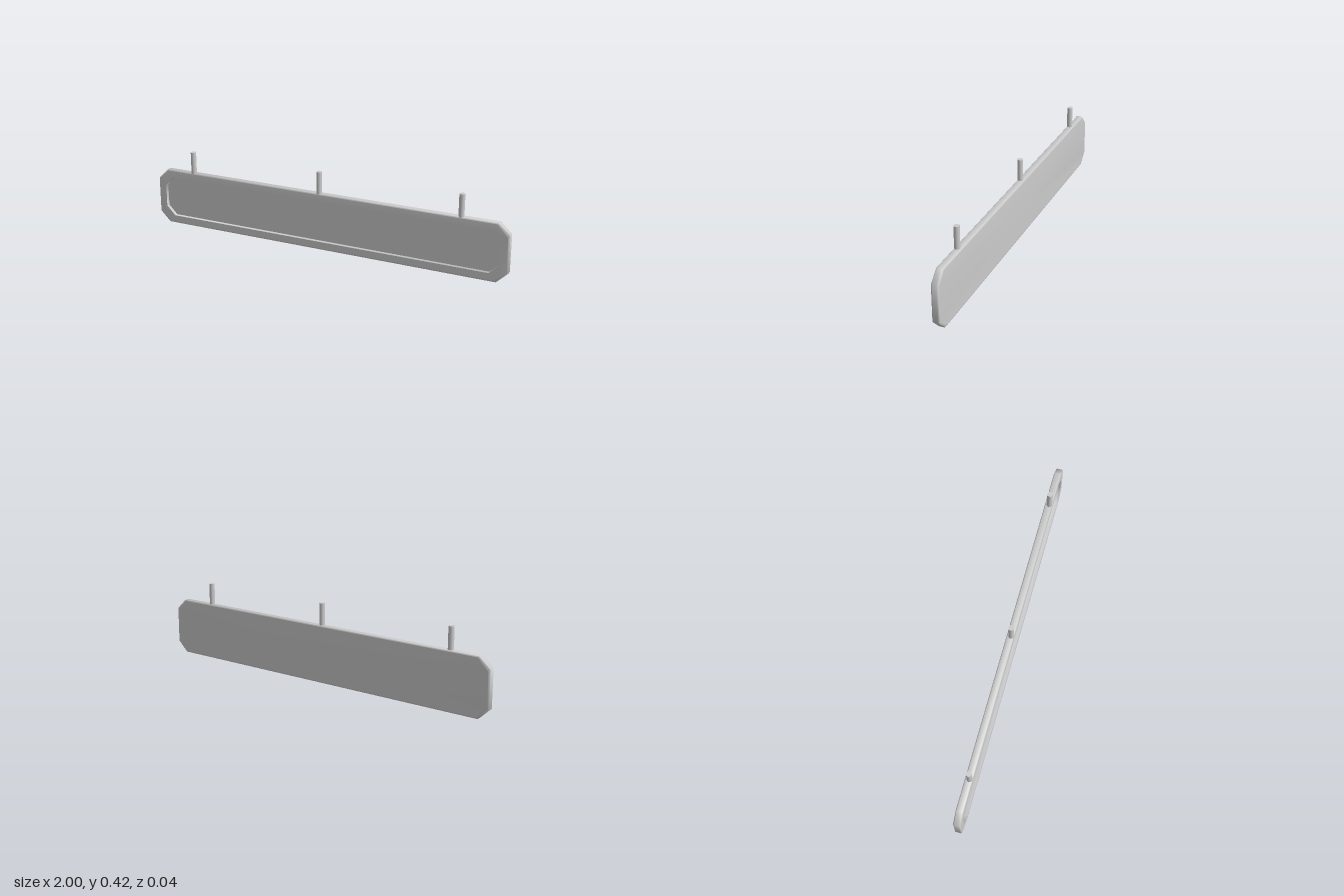
import * as THREE from 'three';
import { toCreasedNormals } from 'three/addons/utils/BufferGeometryUtils.js';

const MID_Y = 0.153;

// Rectangle with cut corners, counter-clockwise seen from the front
function octagon(hw, hh, cx, cy, z) {
  return [
    [hw, -hh + cy], [hw, hh - cy], [hw - cx, hh], [-hw + cx, hh],
    [-hw, hh - cy], [-hw, -hh + cy], [-hw + cx, -hh], [hw - cx, -hh],
  ].map(([x, y]) => [x, y + MID_Y, z]);
}

// Skins consecutive rings and closes both ends with a fan
function loft(rings) {
  const pos = [];
  const tri = (a, b, c) => pos.push(...a, ...b, ...c);
  const n = rings[0].length;
  const first = rings[0], last = rings[rings.length - 1];
  for (let j = 0; j < n; j++) {
    const k = (j + 1) % n;
    for (let i = 0; i < rings.length - 1; i++) {
      const a = rings[i], b = rings[i + 1];
      tri(a[j], a[k], b[k]);
      tri(a[j], b[k], b[j]);
    }
    tri([0, MID_Y, first[0][2]], first[k], first[j]);
    tri([0, MID_Y, last[0][2]], last[j], last[k]);
  }
  const geo = new THREE.BufferGeometry();
  geo.setAttribute('position', new THREE.Float32BufferAttribute(pos, 3));
  return toCreasedNormals(geo, 0.85);
}

export function createModel() {
  const group = new THREE.Group();
  const material = new THREE.MeshStandardMaterial({ color: 0xcccccc });
  const add = (name, geo, x = 0, y = 0, z = 0) => {
    const mesh = new THREE.Mesh(geo, material);
    mesh.name = name;
    mesh.position.set(x, y, z);
    group.add(mesh);
  };

  // Sign board: rounded outer edge, raised rim and sunken front panel
  const HW = 1, HH = 0.152, HZ = 0.019, R = 0.007, STEPS = 4;
  const outer = (inset, z) => octagon(HW - inset, HH - inset, 0.058, 0.055, z);
  const rings = [outer(R + 0.003, -HZ)];
  for (const side of [-1, 1]) {
    for (let i = 0; i <= STEPS; i++) {
      const t = (side < 0 ? i : STEPS - i) / STEPS * Math.PI / 2;
      rings.push(outer(R * (1 - Math.sin(t)), side * (HZ - R + R * Math.cos(t))));
    }
  }
  rings.push(outer(R + 0.003, HZ));
  for (const z of [HZ, -0.001]) rings.push(octagon(0.955, 0.109, 0.05, 0.05, z));
  add('signBoard', loft(rings));

  // Hanging rods along the top edge
  const bottom = 0.29, top = 0.42;
  for (const x of [-0.777, -0.017, 0.75]) {
    const rod = new THREE.CylinderGeometry(0.0145, 0.0145, top - bottom, 20);
    add('hangingRod', rod, x, (top + bottom) / 2, 0.004);
  }
  return group;
}
